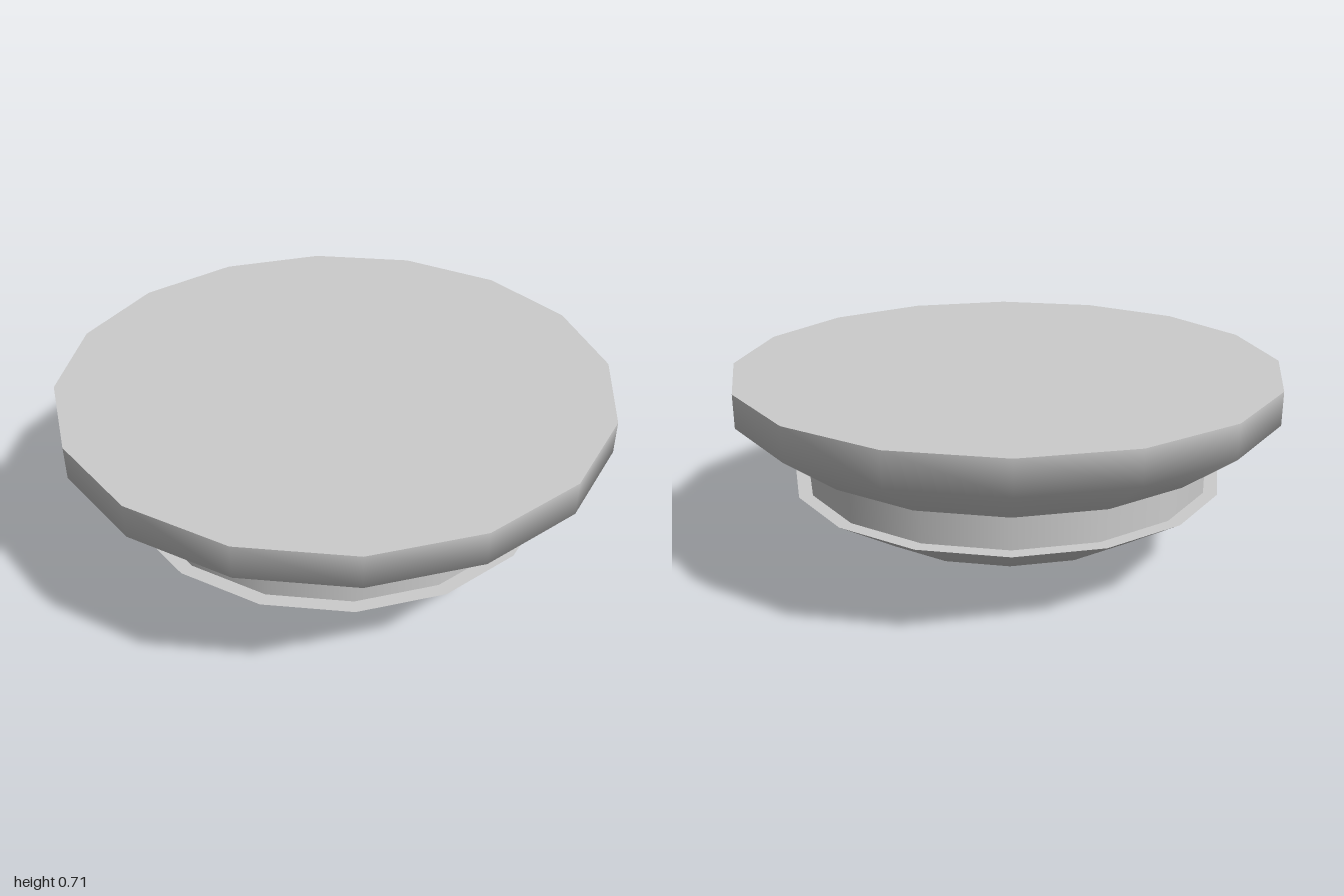
import * as THREE from 'three';

export function createModel() {
  const model = new THREE.Group();
  const grey = new THREE.MeshStandardMaterial({ color: 0xcccccc });
  grey.name = 'light grey';

  // One smooth band of revolution; profile is [radius, height], running
  // up the outside so that faces point outwards.
  function band(name, profile, sides = 16) {
    const points = profile.map(([r, y]) => new THREE.Vector2(r, y));
    const mesh = new THREE.Mesh(new THREE.LatheGeometry(points, sides), grey);
    mesh.name = name;
    model.add(mesh);
  }

  // Pointed tip, with fewer sides than the bowl around it
  band('tip', [[0, 0.005], [0.12, 0.06], [0.22, 0.1]], 8);

  // Lower bowl and the flat ledge on top of it
  band('lowerBowl', [[0.22, 0.1], [0.57, 0.165], [0.8, 0.31]]);
  band('lowerLedge', [[0.8, 0.31], [0.75, 0.31]]);

  // Recessed neck
  band('neck', [[0.75, 0.31], [0.75, 0.445]]);

  // Upper dish: flat underside, flared wall and flat top
  band('upperUnderside', [[0.75, 0.445], [0.8, 0.445]]);
  band('upperDish', [[0.8, 0.445], [1, 0.595], [1, 0.715]]);
  band('top', [[1, 0.715], [0, 0.715]]);

  return model;
}
